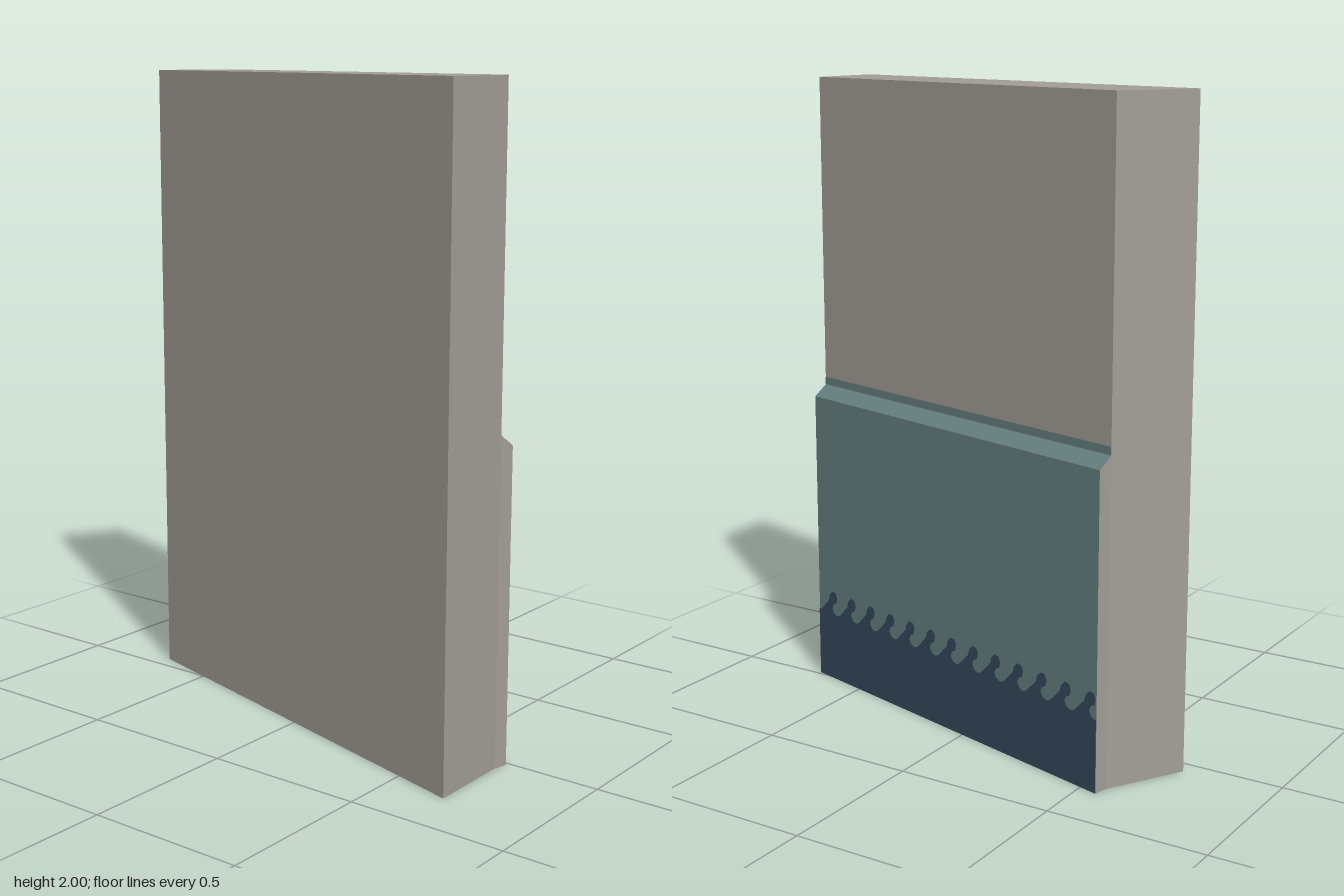
import * as THREE from 'three';

const mat = (name, color) => Object.assign(new THREE.MeshStandardMaterial({ color }), { name });

export function createModel() {
  const plaster = mat('warm grey plaster', 0xa39e97);
  const teal = mat('muted teal', 0x668080);
  const navy = mat('dark navy', 0x344a5b);

  const model = new THREE.Group();
  model.name = 'wallSegment';
  const add = (parent, name, geometry, material) => {
    const mesh = new THREE.Mesh(geometry, material);
    mesh.name = name;
    parent.add(mesh);
    return mesh;
  };

  // Wall slab: mitred plan (x, z) extruded upwards
  const plan = [[-0.705, -0.053], [0.69, 0.323], [0.69, 0.056], [-0.571, -0.283]];
  const slab = new THREE.ExtrudeGeometry(
    new THREE.Shape(plan.map(([x, z]) => new THREE.Vector2(x, -z))),
    { depth: 2, bevelEnabled: false });
  slab.rotateX(-Math.PI / 2);
  add(model, 'wall', slab, plaster);

  // Local frame on the rear face: x runs along the wall, z points outwards
  const length = Math.hypot(1.261, 0.339), depth = 0.045;
  const rear = new THREE.Group();
  rear.name = 'rearPanelling';
  rear.position.set(0.69, 0, 0.056);
  rear.rotation.y = Math.PI - Math.atan2(0.339, 1.261);
  model.add(rear);

  // Wainscot: a box whose top edge slopes back to the wall
  let box = new THREE.BoxGeometry(length, 1, depth, 1, 2, 1);
  box.translate(length / 2, 0.5, depth / 2);
  const p = box.attributes.position;
  for (let i = 0; i < p.count; i++) {
    const y = p.getY(i);
    if (y > 0.9) p.setZ(i, 0);
    else if (y > 0.1) p.setY(i, 0.965);
  }
  box = box.toNonIndexed();
  box.computeVertexNormals();
  add(rear, 'wainscot', box, [plaster, plaster, teal, plaster, teal, plaster]);

  // Painted band just above the ledge
  const band = new THREE.PlaneGeometry(length, 0.025);
  band.translate(length / 2, 1.0125, 0.002);
  add(rear, 'ledgeBand', band, teal);

  // Painted base with a row of leaning, round-tipped waves
  const count = 13, step = length / count;
  const wave = [[0.12, 0.232], [0.3, 0.25], [0.52, 0.272], [0.58, 0.292], [0.72, 0.307],
    [0.9, 0.305], [0.98, 0.288], [0.93, 0.27], [0.78, 0.262], [0.72, 0.247], [0.82, 0.232], [0.97, 0.226]];
  const base = new THREE.Shape();
  base.moveTo(length, 0);
  const edge = [];
  for (let i = 0; i < count; i++) {
    for (const [u, y] of wave) edge.push([(i + u) * step, y]);
  }
  base.lineTo(length, 0.23);
  for (const [x, y] of edge.reverse()) base.lineTo(x, y);
  base.lineTo(0, 0.228);
  base.lineTo(0, 0);
  const baseGeometry = new THREE.ShapeGeometry(base);
  baseGeometry.translate(0, 0, depth + 0.002);
  add(rear, 'waveBase', baseGeometry, navy);

  return model;
}
